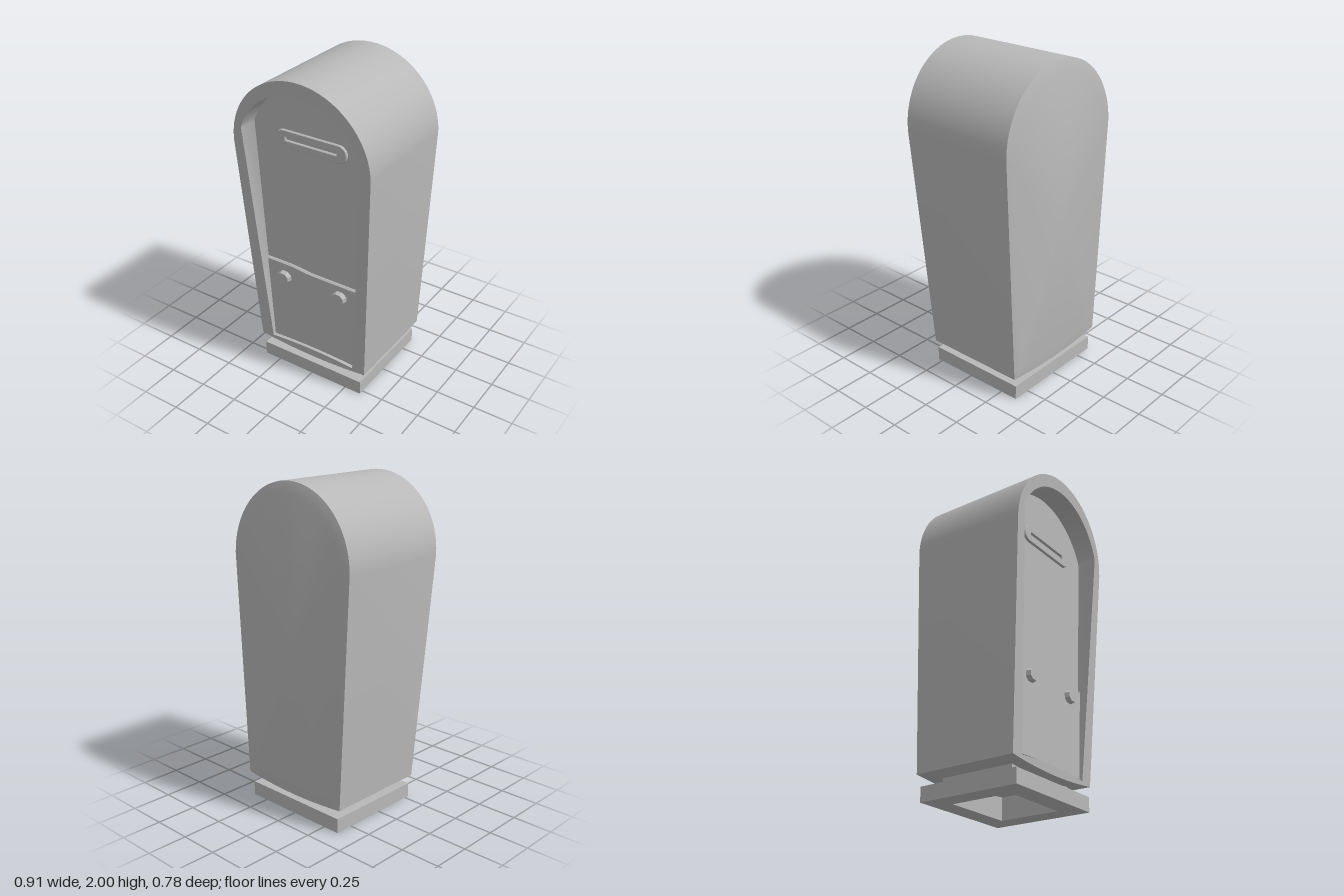
import * as THREE from 'three';
import { toCreasedNormals } from 'three/addons/utils/BufferGeometryUtils.js';

const PANEL_Z = 0.245;
const frontZ = (y) => 0.275 + (y - 0.15) * 0.062; // face leans forward towards the top
const backZ = (y) => -0.376 + 0.014 * Math.max(0, (y - 1.55) / 0.45);

// Arched outline, counter-clockwise from the bottom left: bowed sill, then round top
function archOutline(halfBottom, yCorner, yMiddle, centreY, radius, startAngle) {
  const pts = [];
  for (let i = 0; i <= 10; i++) {
    const t = -1 + i / 5;
    pts.push([t * halfBottom, yMiddle + (yCorner - yMiddle) * t * t]);
  }
  for (let i = 0; i <= 36; i++) {
    const a = startAngle + (Math.PI - 2 * startAngle) * i / 36;
    pts.push([radius * Math.cos(a), centreY + radius * Math.sin(a)]);
  }
  return pts;
}

// Skin running through a list of loops with equal point counts
function skin(loops) {
  const pos = [];
  for (let k = 0; k + 1 < loops.length; k++) {
    const a = loops[k], b = loops[k + 1], n = a.length;
    for (let i = 0; i < n; i++) {
      const j = (i + 1) % n;
      pos.push(...a[i], ...a[j], ...b[j], ...a[i], ...b[j], ...b[i]);
    }
  }
  const g = new THREE.BufferGeometry();
  g.setAttribute('position', new THREE.Float32BufferAttribute(pos, 3));
  return toCreasedNormals(g, 0.5);
}

function rect(path, x0, x1, y0, y1) {
  path.moveTo(x0, y0).lineTo(x1, y0).lineTo(x1, y1).lineTo(x0, y1).closePath();
  return path;
}

function stadium(path, halfLength, r) {
  const c = halfLength - r;
  path.absarc(c, 0, r, -Math.PI / 2, Math.PI / 2, false);
  path.absarc(-c, 0, r, Math.PI / 2, Math.PI * 1.5, false);
  path.closePath();
  return path;
}

export function createModel() {
  const model = new THREE.Group();
  model.name = 'postBox';
  const grey = new THREE.MeshStandardMaterial({ color: 0xb8b8b8 });
  grey.name = 'grey';
  const add = (name, geometry, x = 0, y = 0, z = 0) => {
    const mesh = new THREE.Mesh(geometry, grey);
    mesh.name = name;
    mesh.position.set(x, y, z);
    model.add(mesh);
    return mesh;
  };

  // Body: domed back, tapering shell, leaning rim and recess walls
  const outer = archOutline(0.385, 0.155, 0.132, 1.545, 0.455, 0);
  const inner = archOutline(0.3, 0.17, 0.185, 1.494, 0.421, 0.354);
  const at = (pts, z) => pts.map(([x, y]) => [x, y, z(y)]);
  const backEdge = at(outer, backZ);
  const backRing = outer.map(([x, y]) => [x * 0.9, 1 + (y - 1) * 0.93, -0.385]);
  const backCentre = outer.map(() => [0, 1, -0.39]);
  const frontOuter = at(outer, frontZ);
  const frontInner = at(inner, frontZ);
  const panelEdge = at(inner, () => PANEL_Z);
  add('backPanel', skin([backCentre, backRing, backEdge]));
  add('shell', skin([backEdge, frontOuter]));
  add('frontRim', skin([frontOuter, frontInner]));
  add('recessWall', skin([frontInner, panelEdge]));
  add('frontPanel', skin([panelEdge, inner.map(() => [0, 1, PANEL_Z])]));

  // Lower door with a gently waved top edge and bowed bottom
  const door = new THREE.Shape();
  door.moveTo(-0.292, 0.182);
  door.quadraticCurveTo(0, 0.2, 0.292, 0.182);
  door.lineTo(0.327, 0.728);
  door.lineTo(0.02, 0.728);
  door.bezierCurveTo(-0.06, 0.728, -0.1, 0.742, -0.18, 0.742);
  door.lineTo(-0.327, 0.742);
  door.closePath();
  add('lowerDoor', new THREE.ExtrudeGeometry(door, {
    depth: 0.008, bevelThickness: 0.01, bevelSize: 0.008, bevelSegments: 1, curveSegments: 8,
  }), 0, 0, PANEL_Z);

  // Coin slot plate with its opening
  const plate = stadium(new THREE.Shape(), 0.235, 0.05);
  plate.holes.push(rect(new THREE.Path(), -0.175, 0.175, -0.012, 0.016));
  add('slotPlate', new THREE.ExtrudeGeometry(plate, {
    depth: 0.012, bevelThickness: 0.004, bevelSize: 0.004, bevelSegments: 1, curveSegments: 6,
  }), 0, 1.585, PANEL_Z);

  // Pair of eight-sided door knobs
  for (const side of [-1, 1]) {
    const knob = new THREE.CylinderGeometry(0.042, 0.049, 0.03, 8);
    knob.rotateY(Math.PI / 8).rotateX(Math.PI / 2).scale(1, 0.84, 1);
    add(side > 0 ? 'leftKnob' : 'rightKnob', toCreasedNormals(knob, 0.4), side * 0.2, 0.655, PANEL_Z + 0.033);
  }

  // Hollow foot: wide plinth and narrower neck
  const frame = (hx, z0, z1, height) => {
    const s = rect(new THREE.Shape(), -hx, hx, -z1, -z0);
    s.holes.push(rect(new THREE.Path(), -0.23, 0.23, -0.15, 0.24));
    return new THREE.ExtrudeGeometry(s, { depth: height, bevelEnabled: false }).rotateX(-Math.PI / 2);
  };
  add('plinth', frame(0.36, -0.365, 0.28, 0.09));
  add('neck', frame(0.275, -0.28, 0.19, 0.055), 0, 0.09, 0);
  return model;
}
